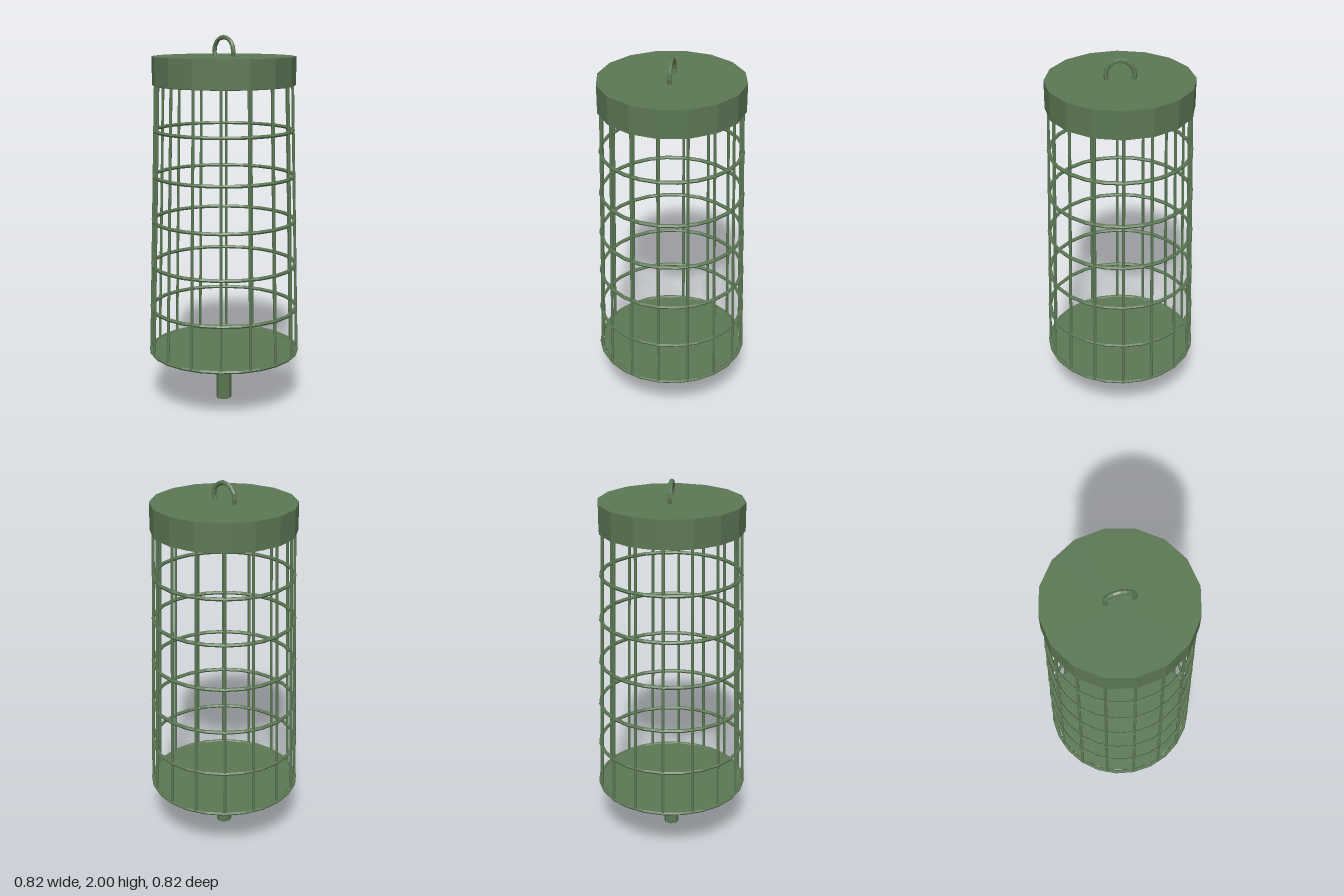
import * as THREE from 'three';

const BOTTOM = 0.29, TOP = 1.745;   // heights of the lowest and highest hoops
const SIDES = 16;                   // wires around the cage

// cage radius narrows slightly toward the cap
const radiusAt = (y) => THREE.MathUtils.mapLinear(y, BOTTOM, TOP, 0.402, 0.362);

export function createModel() {
  const model = new THREE.Group();
  model.name = 'wireCage';
  const material = new THREE.MeshStandardMaterial({ color: 0x5c7855, flatShading: true });

  function add(name, geometry, y = 0, parent = model) {
    const mesh = new THREE.Mesh(geometry, material);
    mesh.name = name;
    mesh.position.y = y;
    parent.add(mesh);
    return mesh;
  }

  // solid cap, floor plate and mounting peg
  add('cap', new THREE.CylinderGeometry(0.38, 0.38, 0.15, SIDES), 1.815);
  add('floor', new THREE.CylinderGeometry(0.395, 0.395, 0.008, SIDES), BOTTOM);
  add('peg', new THREE.CylinderGeometry(0.042, 0.042, 0.29, 8), 0.145);

  // hanging loop, its lower part sunk into the cap
  add('hangingLoop', new THREE.TorusGeometry(0.073, 0.012, 6, 16), 1.915);

  // horizontal hoops
  const hoops = new THREE.Group();
  hoops.name = 'hoops';
  model.add(hoops);
  for (let i = 0; i < 7; i++) {
    const y = THREE.MathUtils.lerp(BOTTOM, TOP, i / 6);
    const hoop = new THREE.TorusGeometry(radiusAt(y), 0.01, 6, 24).rotateX(Math.PI / 2);
    add('hoop', hoop, y, hoops);
  }

  // upright wires, leaning inward
  const wires = new THREE.Group();
  wires.name = 'wires';
  model.add(wires);
  for (let i = 0; i < SIDES; i++) {
    const a = (i / SIDES) * Math.PI * 2;
    const point = (y) => new THREE.Vector3(Math.cos(a) * radiusAt(y), y, Math.sin(a) * radiusAt(y));
    const path = new THREE.LineCurve3(point(BOTTOM), point(TOP + 0.01));
    add('wire', new THREE.TubeGeometry(path, 1, 0.008, 6, false), 0, wires);
  }

  return model;
}
